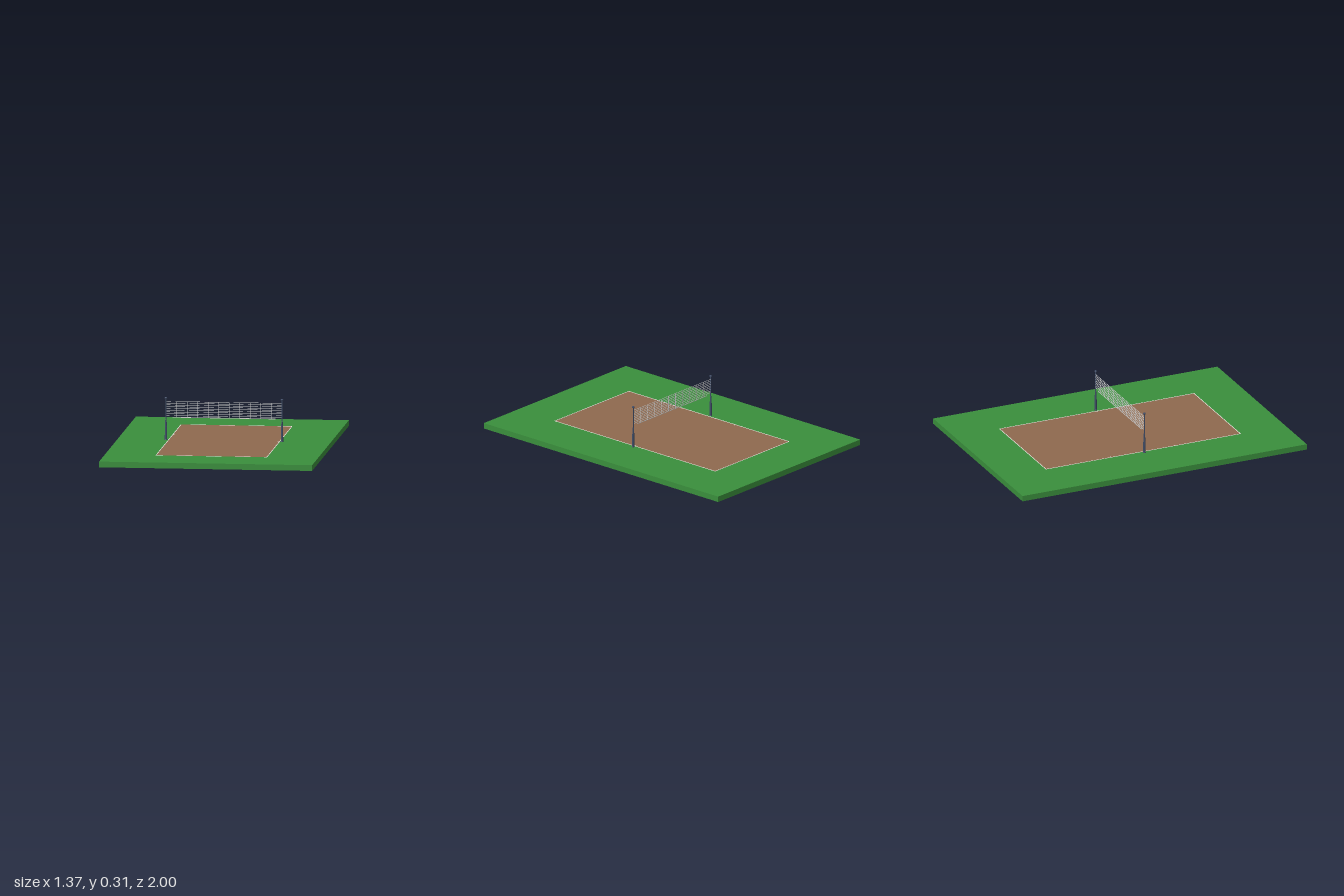
import * as THREE from 'three';

const material = (name, color) => {
  const m = new THREE.MeshStandardMaterial({ color });
  m.name = name;
  return m;
};

export function createModel() {
  const grass = material('grass green', 0x3a8f3c);
  const clay = material('clay brown', 0x8f694e);
  const white = material('line white', 0xe8e4de);
  const netGrey = material('net pale grey', 0xd0d0d0);
  const steel = material('post slate blue', 0x3f4c66);

  const model = new THREE.Group();
  model.name = 'netCourt';
  const add = (parent, name, geometry, mat, x = 0, y = 0, z = 0) => {
    const mesh = new THREE.Mesh(geometry, mat);
    mesh.name = name;
    mesh.position.set(x, y, z);
    parent.add(mesh);
    return mesh;
  };
  const box = (parent, name, mat, w, h, d, x, y, z) =>
    add(parent, name, new THREE.BoxGeometry(w, h, d), mat, x, y, z);

  const H = 0.037, HX = 0.357, HZ = 0.684;

  // Grass slab with an opening for the court
  const rect = (target, x, z) => {
    target.moveTo(-x, -z).lineTo(x, -z).lineTo(x, z).lineTo(-x, z).closePath();
    return target;
  };
  const slab = rect(new THREE.Shape(), 0.686, 1);
  slab.holes.push(rect(new THREE.Path(), HX, HZ));
  const slabGeometry = new THREE.ExtrudeGeometry(slab, { depth: H, bevelEnabled: false });
  slabGeometry.rotateX(-Math.PI / 2);
  add(model, 'grassBase', slabGeometry, grass);

  // Court surface fills the opening and shows on the underside
  box(model, 'courtSurface', clay, HX * 2, H, HZ * 2, 0, H / 2, 0);

  // Thin boundary lines and small position marks
  const lines = new THREE.Group();
  lines.name = 'courtLines';
  model.add(lines);
  const T = 0.005, lineH = 0.001, lineY = H + lineH / 2;
  for (const s of [-1, 1]) {
    box(lines, 'sideLine', white, T, lineH, HZ * 2, s * HX, lineY, 0);
    box(lines, 'endLine', white, HX * 2, lineH, T, 0, lineY, s * HZ);
    box(lines, 'attackMark', white, 0.012, lineH, T, -HX + 0.006, lineY, s * 0.225);
  }
  box(lines, 'centreMark', white, 0.012, lineH, T, HX - 0.006, lineY, 0);

  // Posts: padded sleeve, tapering to a slim pole with a cap
  const postX = 0.374;
  const profile = [
    [0, H], [0.009, H], [0.009, 0.042], [0.008, 0.044], [0.007, 0.12],
    [0.0045, 0.166], [0.0032, 0.172], [0.0032, 0.303],
    [0.008, 0.304], [0.009, 0.308], [0.007, 0.313], [0, 0.314],
  ].map(([r, y]) => new THREE.Vector2(r, y));
  for (const s of [-1, 1]) {
    const geometry = new THREE.LatheGeometry(profile, 12).toNonIndexed();
    geometry.computeVertexNormals();
    add(model, s > 0 ? 'leftPost' : 'rightPost', geometry, steel, s * postX);
  }

  // Net: horizontal cords, sparse vertical cords and a bottom tape
  const net = new THREE.Group();
  net.name = 'net';
  model.add(net);
  const top = 0.286, bottom = 0.184, rows = 10, cord = 0.0024;
  for (let i = 0; i < rows; i++) {
    const y = top + (bottom - top) * i / (rows - 1);
    const last = i === rows - 1;
    box(net, last ? 'bottomTape' : 'netCord', netGrey,
      last ? 0.665 : postX * 2, last ? 0.004 : cord, cord, 0, y, 0);
  }
  for (let i = 0; i < 10; i++) {
    box(net, 'netUpright', netGrey, cord, top - bottom, cord,
      (i - 4.5) * 0.0678, (top + bottom) / 2, 0);
  }
  return model;
}
